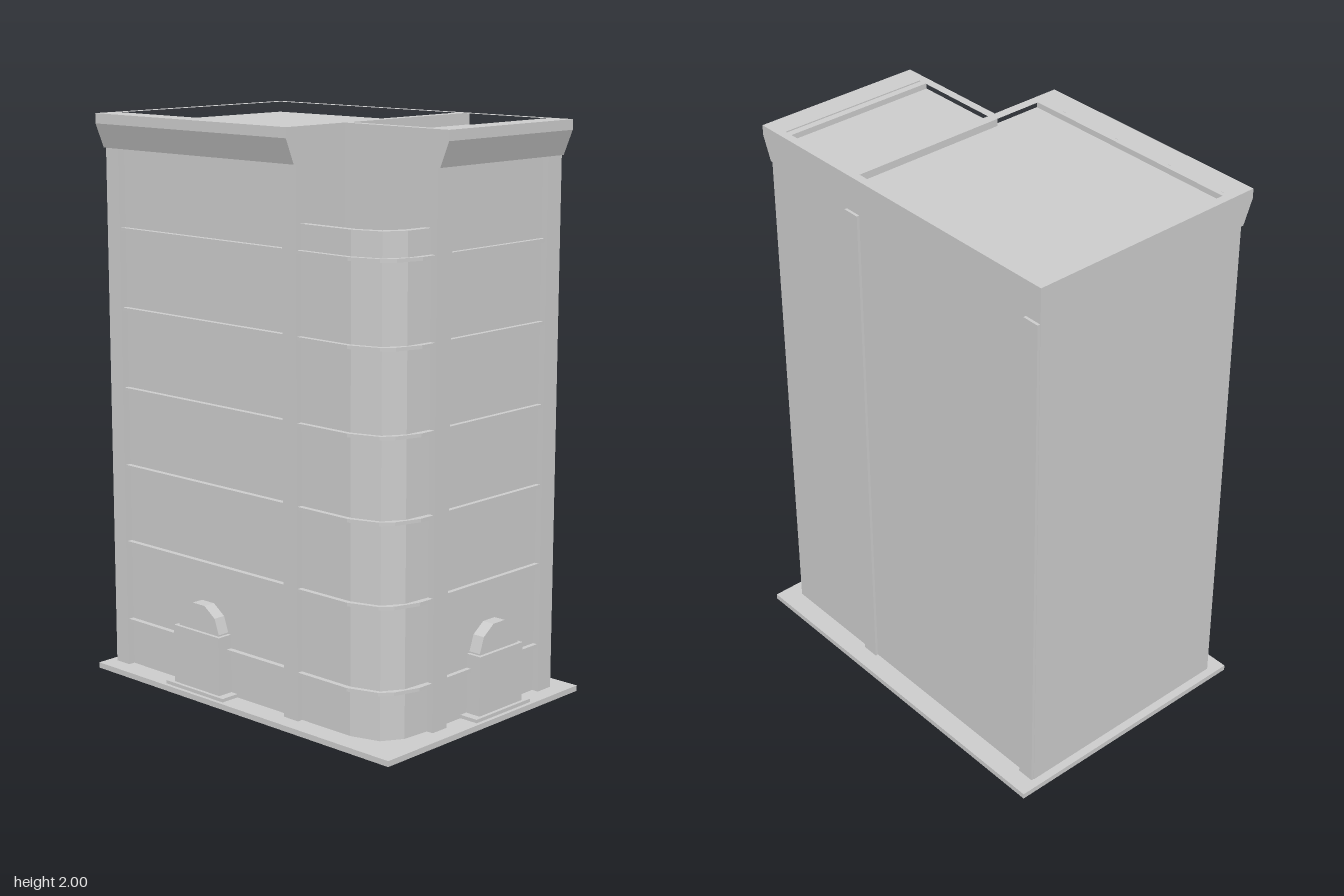
import * as THREE from 'three';

const mat = new THREE.MeshStandardMaterial({ color: 0xcccccc, flatShading: true });
const FLOORS = [0.185, 0.475, 0.755, 1.035, 1.32, 1.6];

function add(parent, name, geometry) {
  const mesh = new THREE.Mesh(geometry, mat);
  mesh.name = name;
  parent.add(mesh);
  return mesh;
}

// Box given by its limits on each axis
function box(parent, name, x0, x1, y0, y1, z0, z1) {
  const g = new THREE.BoxGeometry(x1 - x0, y1 - y0, z1 - z0);
  g.translate((x0 + x1) / 2, (y0 + y1) / 2, (z0 + z1) / 2);
  return add(parent, name, g);
}

const extrude = (shape, depth) => new THREE.ExtrudeGeometry(shape, { depth, bevelEnabled: false });
const path = (points) => points.map(([x, y]) => new THREE.Vector2(x, y));
const rect = (x0, x1, z0, z1) => [[x0, z0], [x1, z0], [x1, z1], [x0, z1]];

// Upright prism from a plan outline of [x, z] corners, with optional holes
function prism(parent, name, outline, y0, y1, holes = []) {
  const plan = (pts) => path(pts.map(([x, z]) => [x, -z]));
  const shape = new THREE.Shape(plan(outline));
  holes.forEach((h) => shape.holes.push(new THREE.Path(plan(h))));
  const g = extrude(shape, y1 - y0);
  g.rotateX(-Math.PI / 2);
  g.translate(0, y0, 0);
  return add(parent, name, g);
}

// Cornice: the profile leans outward along local +x and runs along local z
function cornice(parent, name, length, angle, x, z) {
  const profile = [[-0.02, 1.88], [0.008, 1.88], [0.043, 1.965], [0.043, 2], [-0.02, 2]];
  const mesh = add(parent, name, extrude(new THREE.Shape(path(profile)), length));
  mesh.rotation.y = angle;
  mesh.position.set(x, 0, z);
}

// Arched entrance facing local +z, with the wall face at z = 0
function entrance(parent, name, x, z, angle) {
  const door = new THREE.Group();
  door.name = name;
  box(door, 'doorstep', -0.143, 0.143, 0.02, 0.032, -0.03, 0.046);
  box(door, 'porch', -0.113, 0.113, 0.03, 0.24, -0.03, 0.033);
  const arch = [[-0.1, 0.23], [0.1, 0.23], [0.1, 0.245], [0.08, 0.3], [0.03, 0.335],
    [-0.03, 0.335], [-0.08, 0.3], [-0.1, 0.245]];
  add(door, 'arch', extrude(new THREE.Shape(path(arch)), 0.05)).position.z = -0.03;
  door.position.set(x, 0, z);
  door.rotation.y = angle;
  parent.add(door);
}

export function createModel() {
  const model = new THREE.Group();
  model.name = 'building';

  // Ground plate with narrow slots under the walls
  prism(model, 'basePlate', rect(-0.495, 0.495, -0.705, 0.705), 0, 0.02, [
    rect(0.39, 0.42, -0.63, 0.6), rect(-0.39, 0.38, -0.675, -0.645),
    rect(-0.39, 0.38, 0.21, 0.24), rect(-0.21, -0.18, 0.25, 0.6),
  ]);

  // Two main blocks, up to the roof decks
  box(model, 'rearBlock', -0.41, 0.42, 0.02, 1.96, -0.675, 0.245);
  box(model, 'frontBlock', -0.21, 0.42, 0.02, 1.96, 0.24, 0.62);

  // Pilasters on the front, left and right
  for (const x of [-0.21, 0.35]) box(model, 'frontPilaster', x, x + 0.07, 0.02, 1.88, 0.6, 0.645);
  for (const z of [-0.675, 0.18]) {
    box(model, 'leftPilaster', -0.435, -0.4, 0.02, 1.88, z, z + 0.065);
    box(model, 'rightPilaster', 0.41, 0.43, 0.02, 1.875, z + 0.002, z + 0.065);
  }

  // Rounded corner bay: solid up to the terrace, then a parapet
  const outer = [[-0.21, 0.62], [-0.312, 0.612], [-0.383, 0.568], [-0.415, 0.465], [-0.415, 0.24]];
  const inner = [[-0.21, 0.592], [-0.3, 0.584], [-0.36, 0.547], [-0.39, 0.465], [-0.39, 0.24]];
  const lip = [[-0.21, 0.64], [-0.27, 0.638], [-0.36, 0.608], [-0.398, 0.573], [-0.434, 0.467], [-0.434, 0.24]];
  const close = (edge) => [...edge, [-0.2, 0.24], [-0.2, edge[0][1]]];
  prism(model, 'bay', close(outer), 0.02, 1.6);
  prism(model, 'bayParapet', [...outer, ...[...inner].reverse()], 1.59, 1.69);

  // Floor bands round the bay, front and left walls
  for (const y of FLOORS) {
    const y0 = y - 0.006, y1 = y + 0.006;
    prism(model, 'bayBand', [...lip, ...[...inner].reverse()], y0, y1);
    box(model, 'frontBand', -0.14, 0.35, y0, y1, 0.61, 0.637);
    box(model, 'leftBand', -0.43, -0.4, y0, y1, -0.61, 0.18);
  }

  // Flared cornices on the left and front
  cornice(model, 'leftCornice', 0.92, Math.PI, -0.437, 0.245);
  cornice(model, 'frontCornice', 0.63, -Math.PI / 2, 0.42, 0.645);
  box(model, 'leftFrieze', -0.437, -0.4, 1.88, 1.98, -0.675, 0.245);
  box(model, 'frontFrieze', -0.21, 0.42, 1.88, 1.98, 0.6, 0.645);

  // Roof rims round the sunken decks
  prism(model, 'rearRoofRim', rect(-0.44, 0.42, -0.675, 0.245), 1.95, 2,
    [rect(-0.39, 0.39, -0.643, 0.21)]);
  prism(model, 'frontRoofRim', rect(-0.21, 0.42, 0.23, 0.65), 1.95, 2,
    [rect(-0.18, 0.39, 0.245, 0.6)]);

  // Entrances
  entrance(model, 'frontEntrance', 0.105, 0.645, 0);
  entrance(model, 'leftEntrance', -0.435, -0.215, -Math.PI / 2);

  return model;
}
